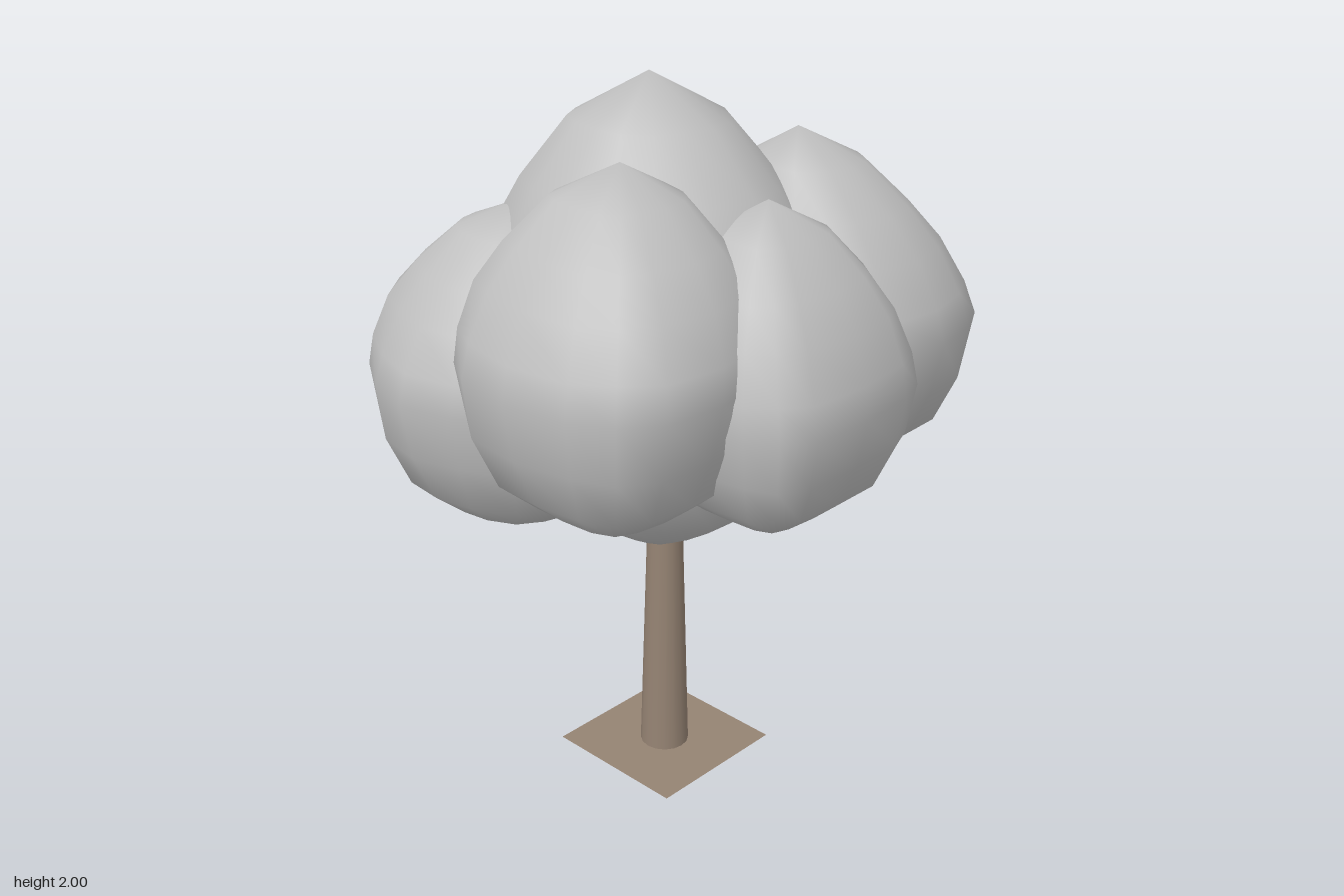
import * as THREE from 'three';
import { mergeVertices } from 'three/addons/utils/BufferGeometryUtils.js';

const foliage = new THREE.MeshStandardMaterial({ color: 0xc0c0c0 });
foliage.name = 'foliageGrey';
const bark = new THREE.MeshStandardMaterial({ color: 0x958373, side: THREE.DoubleSide });
bark.name = 'barkBrown';

const SIDES = 16;

// Clump profile: [height from the widest ring, -1 bottom to 1 peak; share of full width]
const PROFILE = [
  [-1, 0], [-0.95, 0.3], [-0.86, 0.5], [-0.68, 0.76], [-0.36, 0.93], [0, 1],
  [0.18, 0.97], [0.42, 0.86], [0.62, 0.68], [0.84, 0.42], [1, 0],
];

// Rounded-square plan rings follow the profile, drifting towards the off-centre peak;
// cone above 1 narrows the underside
function clumpGeometry(peak, bottomY, midY, [minX, maxX, minZ, maxZ], squareness, cone = 1) {
  const cx = (minX + maxX) / 2;
  const cz = (minZ + maxZ) / 2;
  const bend = (v) => Math.sign(v) * Math.abs(v) ** (2 / squareness);
  const positions = [];
  const index = [];
  PROFILE.forEach(([h, share], i) => {
    const drift = Math.max(h, 0);
    const width = h < 0 ? share ** cone : share;
    const y = midY + Math.abs(h) * ((h < 0 ? bottomY : peak[1]) - midY);
    for (let j = 0; j < SIDES; j++) {
      const angle = (j / SIDES) * Math.PI * 2;
      // Soft lumps running around each clump
      const r = width * (1 + 0.025 * Math.sin(5 * angle + 3 * h));
      positions.push(
        cx + (peak[0] - cx) * drift + bend(Math.cos(angle)) * r * (maxX - minX) / 2,
        y,
        cz + (peak[2] - cz) * drift + bend(Math.sin(angle)) * r * (maxZ - minZ) / 2,
      );
      if (i === 0) continue;
      const a = (i - 1) * SIDES + j;
      const b = (i - 1) * SIDES + (j + 1) % SIDES;
      if (i < PROFILE.length - 1) index.push(a, a + SIDES, b + SIDES);
      if (i > 1) index.push(a, b + SIDES, b);
    }
  });
  const geometry = new THREE.BufferGeometry();
  geometry.setAttribute('position', new THREE.Float32BufferAttribute(positions, 3));
  geometry.setIndex(index);
  const welded = mergeVertices(geometry);
  welded.computeVertexNormals();
  return welded;
}

export function createModel() {
  const tree = new THREE.Group();
  tree.name = 'tree';
  const add = (name, geometry, material) => {
    const mesh = new THREE.Mesh(geometry, material);
    mesh.name = name;
    tree.add(mesh);
  };

  // Tapered open trunk running up into the leaves
  const trunk = new THREE.CylinderGeometry(0.049, 0.07, 0.74, 16, 1, true);
  add('trunk', trunk.translate(0.055, 0.37, 0.025), bark);

  // Thin square of soil around the trunk
  const plate = new THREE.PlaneGeometry(0.42, 0.42).rotateX(-Math.PI / 2);
  add('groundPlate', plate.translate(0.055, 0.05, 0.025), bark);

  // Crown of overlapping leaf clumps: peak, bottom, widest height, plan bounds, squareness
  const clump = (name, ...shape) => add(name, clumpGeometry(...shape), foliage);
  clump('centreClump', [0.05, 2, 0.08], 0.7, 1.3, [-0.45, 0.53, -0.43, 0.5], 2, 1.4);
  clump('rightClump', [-0.35, 1.66, -0.02], 0.89, 1.23, [-0.74, -0.08, -0.36, 0.31], 1.95);
  clump('frontRightClump', [-0.18, 1.68, 0.3], 0.82, 1.24, [-0.6, 0.22, 0, 0.7], 1.9);
  clump('frontLeftClump', [0.2, 1.85, 0.33], 0.96, 1.38, [-0.13, 0.59, 0.06, 0.73], 2.7);
  clump('leftClump', [0.42, 1.75, 0.06], 0.92, 1.28, [0.15, 0.74, -0.26, 0.37], 3.4);
  clump('backLeftClump', [0.25, 1.84, -0.25], 0.94, 1.34, [-0.04, 0.67, -0.66, -0.02], 2.6);
  clump('backRightClump', [-0.12, 1.73, -0.32], 0.79, 1.24, [-0.5, 0.28, -0.73, -0.02], 2.1);

  return tree;
}
